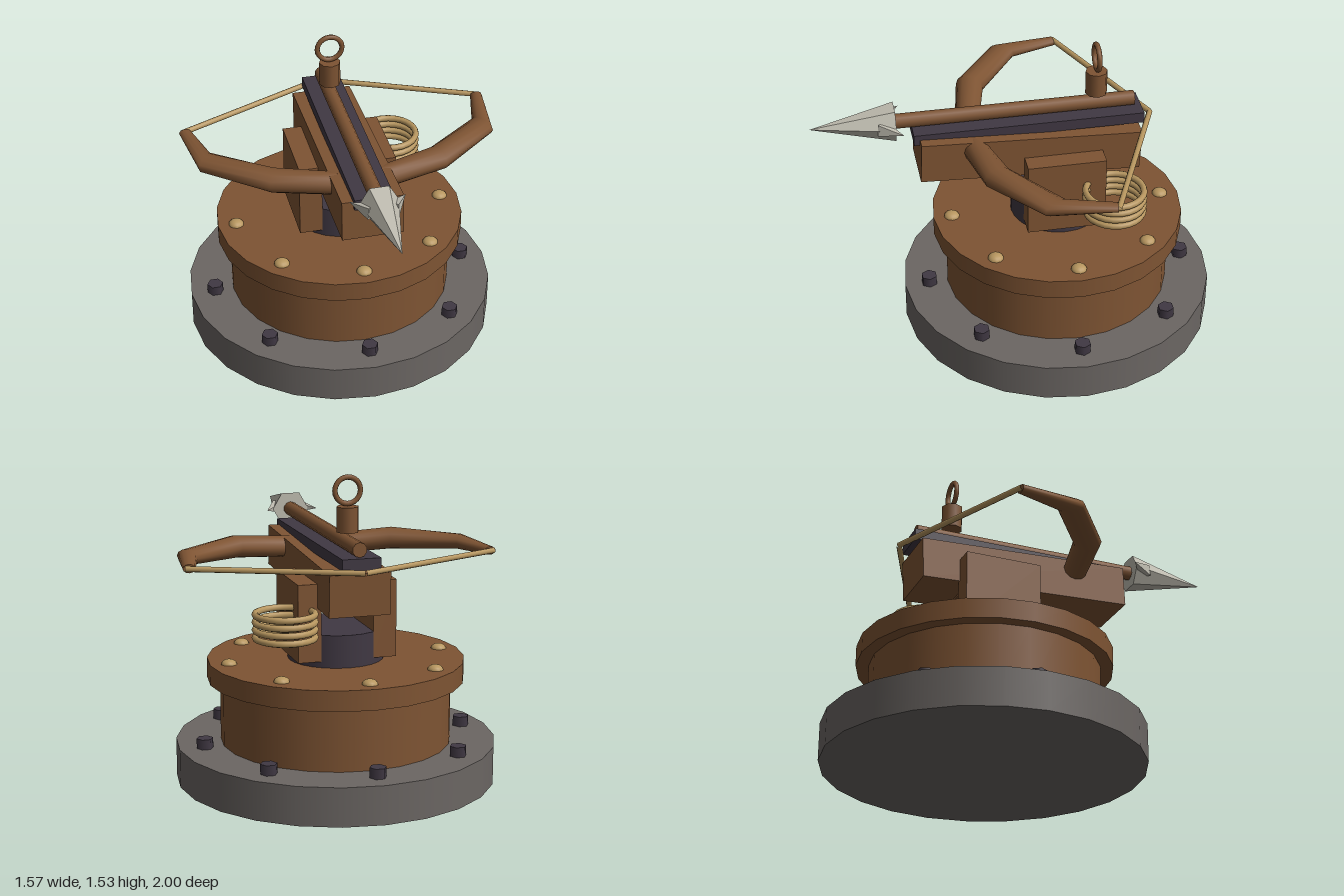
import * as THREE from 'three';

export function createModel() {
  const model = new THREE.Group();
  const CZ = -0.213; // axis of the round pedestal
  const mat = (name, color, extra = {}) => {
    const m = new THREE.MeshStandardMaterial({ color, ...extra });
    m.name = name;
    return m;
  };
  const wood = mat('brown wood', 0x7e5433);
  const stone = mat('grey stone', 0x6b6663);
  const iron = mat('dark iron', 0x403843);
  const rope = mat('tan rope', 0xb7965f);
  const steel = mat('pale steel', 0xbfbcb0, { flatShading: true });

  const add = (name, geo, material, x = 0, y = 0, z = 0) => {
    const mesh = new THREE.Mesh(geo, material);
    mesh.name = name;
    mesh.position.set(x, y, z);
    model.add(mesh);
    return mesh;
  };
  const box = (name, w, h, d, material, x, y, z) =>
    add(name, new THREE.BoxGeometry(w, h, d), material, x, y, z);
  const disc = (name, r, y0, y1, material, sides = 24) =>
    add(name, new THREE.CylinderGeometry(r, r, y1 - y0, sides), material, 0, (y0 + y1) / 2, CZ);

  // Pedestal
  disc('base', 0.787, 0, 0.19, stone);
  disc('drum', 0.567, 0.19, 0.5, wood);
  disc('drumRim', 0.63, 0.5, 0.6, wood);
  disc('turntable', 0.235, 0.6, 0.76, iron);

  // Bolts on the base and studs on the rim
  const boltGeo = new THREE.CylinderGeometry(0.041, 0.041, 0.06, 6).rotateY(Math.PI / 6);
  const studGeo = new THREE.SphereGeometry(0.039, 12, 6, 0, Math.PI * 2, 0, Math.PI / 2).scale(1, 0.68, 1);
  for (let i = 0; i < 8; i++) {
    const a = i * Math.PI / 4, s = Math.sin(a), c = Math.cos(a);
    add('baseBolt', boltGeo, iron, 0.662 * s, 0.21, CZ + 0.662 * c);
    add('rimStud', studGeo, rope, 0.537 * s, 0.599, CZ + 0.537 * c);
  }

  // Yoke
  for (const s of [-1, 1]) box('yokeArm', 0.115, 0.38, 0.388, wood, s * 0.188, 0.82, CZ);
  box('yokeCrossbar', 0.27, 0.11, 0.3, wood, 0, 0.937, CZ);

  // Tilted stock with a level rail on top
  box('stock', 0.3, 0.206, 1.085, wood, 0, 1.012, -0.057).rotation.x = -0.045;
  box('rail', 0.19, 0.055, 1.133, iron, 0, 1.138, -0.057);

  // Bow limbs: ellipses lofted along a bent path [x, y, z, half width, half height, section angle]
  const path = [
    [0.11, 1.075, 0.222, 0.06, 0.054, 1.3],
    [0.41, 1.1, 0.16, 0.07, 0.056, 1.19],
    [0.7, 1.105, -0.06, 0.068, 0.037, 0.98],
    [0.752, 1.107, -0.338, 0.03, 0.021, 0.1],
  ];
  const limb = (side) => {
    const n = 12, pos = [], idx = [];
    for (const [x, y, z, w, h, a] of path)
      for (let j = 0; j < n; j++) {
        const t = j / n * Math.PI * 2, u = Math.cos(t) * w;
        pos.push(side * (x + u * Math.cos(a)), y + Math.sin(t) * h, z + u * Math.sin(a));
      }
    const tri = (a, b, c) => (side > 0 ? idx.push(a, b, c) : idx.push(a, c, b));
    for (let i = 0; i < path.length - 1; i++)
      for (let j = 0; j < n; j++) {
        const k = (j + 1) % n, a = i * n + j, b = i * n + k;
        tri(a, a + n, b);
        tri(b, a + n, b + n);
      }
    // end caps with their own corners
    for (const i of [0, path.length - 1]) {
      const start = pos.length / 3;
      pos.push(...pos.slice(i * n * 3, (i + 1) * n * 3));
      for (let j = 1; j < n - 1; j++)
        i === 0 ? tri(start, start + j, start + j + 1) : tri(start, start + j + 1, start + j);
    }
    const geo = new THREE.BufferGeometry();
    geo.setAttribute('position', new THREE.Float32BufferAttribute(pos, 3));
    geo.setIndex(idx);
    geo.computeVertexNormals();
    return geo;
  };
  const limbWood = mat('brown wood', 0x7e5433, { side: THREE.DoubleSide });
  for (const s of [-1, 1]) {
    add('bowLimb', limb(s), limbWood);
    // Bowstring half
    const line = new THREE.LineCurve3(
      new THREE.Vector3(s * 0.77, 1.107, -0.338), new THREE.Vector3(0, 1.107, -0.675));
    add('bowString', new THREE.TubeGeometry(line, 1, 0.014, 8), rope);
  }

  // Bolt: shaft, hexagonal head and two swept barbs
  add('arrowShaft', new THREE.CylinderGeometry(0.036, 0.036, 1.2, 10).rotateX(Math.PI / 2), wood, 0, 1.2, 0.01);
  add('arrowHead', new THREE.ConeGeometry(0.095, 0.41, 6).rotateY(Math.PI / 6).rotateX(Math.PI / 2),
    steel, 0, 1.2, 0.795);
  for (const s of [-1, 1]) {
    const barb = add('arrowBarb', new THREE.ConeGeometry(0.042, 0.13, 4), steel, s * 0.092, 1.2, 0.608);
    barb.quaternion.setFromUnitVectors(
      new THREE.Vector3(0, 1, 0), new THREE.Vector3(s * 0.65, 0, -0.76).normalize());
  }

  // Sighting post and ring
  add('sightPost', new THREE.CylinderGeometry(0.054, 0.054, 0.122, 8), wood, 0, 1.313, -0.4);
  add('sightRing', new THREE.TorusGeometry(0.063, 0.013, 8, 24), wood, 0, 1.45, -0.4);

  // Coiled rope hung at the left yoke arm
  const coilGeo = new THREE.TorusGeometry(0.142, 0.0165, 8, 24).rotateX(Math.PI / 2);
  for (let i = 0; i < 4; i++) add('ropeCoil', coilGeo, rope, 0.317, 0.771 + i * 0.037, -0.433);

  return model;
}
